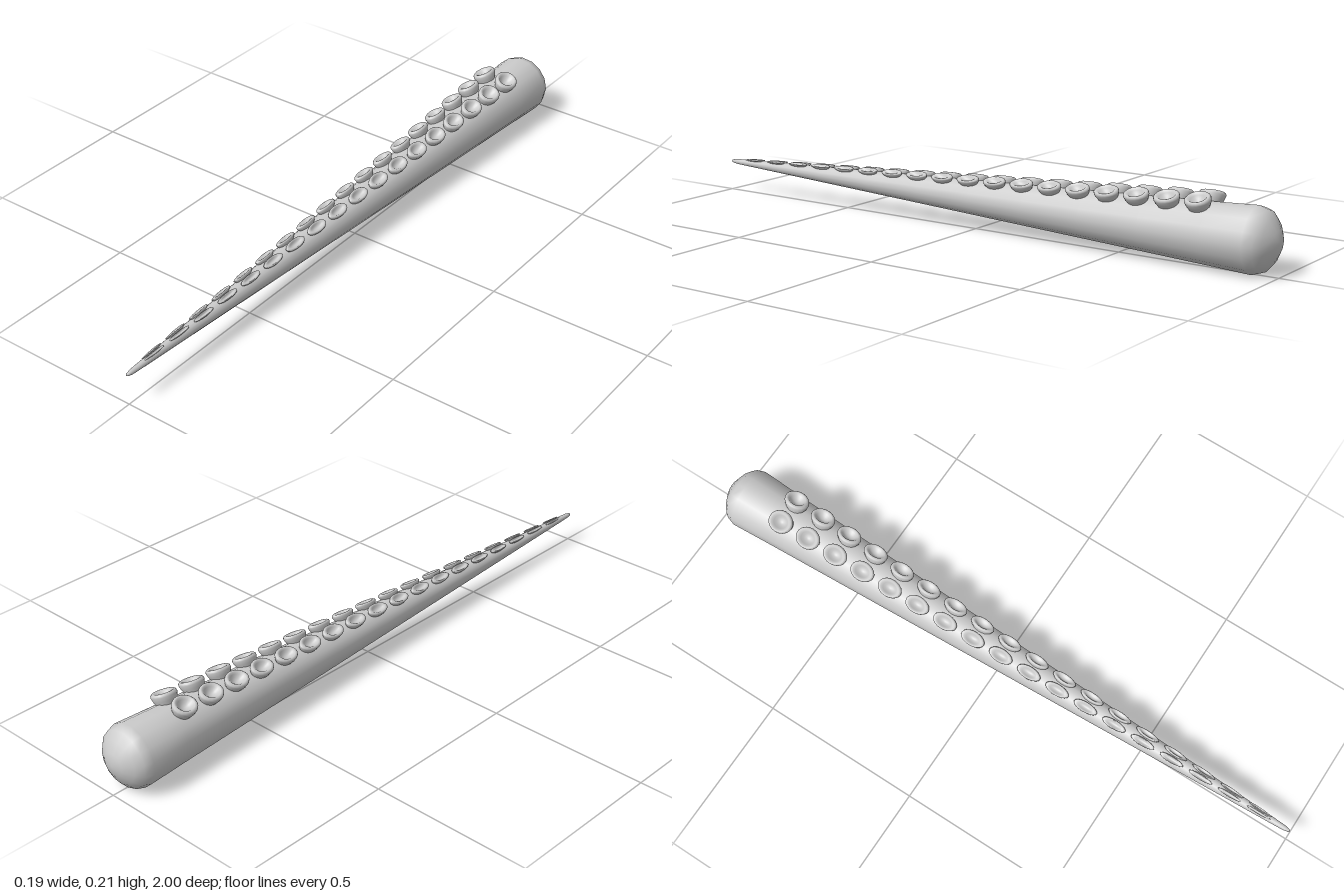
import * as THREE from 'three';
import { mergeVertices } from 'three/addons/utils/BufferGeometryUtils.js';

const AXIS = new THREE.Vector2(-0.002, 0.098); // x, y of the arm's centre line
const radiusAt = (z) => 0.0525 - 0.0455 * z;   // straight taper from root to tip

// Revolved profile with a seamless smooth surface
function revolve(points, sides, start = 0) {
  const geo = new THREE.LatheGeometry(points.map(([r, y]) => new THREE.Vector2(r, y)), sides, start);
  geo.deleteAttribute('uv');
  geo.deleteAttribute('normal');
  const merged = mergeVertices(geo, 1e-5);
  merged.computeVertexNormals();
  return merged;
}

// Squeezes a geometry towards the centre line, leaving its length alone
function taper(geo, fullRadius) {
  const p = geo.attributes.position;
  for (let i = 0; i < p.count; i++) {
    const s = radiusAt(p.getZ(i)) / fullRadius;
    p.setXY(i, p.getX(i) * s, p.getY(i) * s);
  }
  geo.computeVertexNormals();
  return geo;
}

export function createModel() {
  const material = new THREE.MeshStandardMaterial({ color: 0xcccccc });
  const group = new THREE.Group();
  group.name = 'tentacle';

  const add = (geo, name) => {
    const mesh = new THREE.Mesh(geo, material);
    mesh.name = name;
    mesh.position.set(AXIS.x, AXIS.y, 0);
    group.add(mesh);
  };

  // Tapering arm with a domed root and a rounded tip
  const profile = [[0, -1], [0.035, -0.993], [0.066, -0.976], [0.087, -0.957], [0.0957, -0.93]];
  for (let z = -0.8; z < 0.95; z += 0.2) profile.push([radiusAt(z), z]);
  profile.push([radiusAt(0.96), 0.96], [0.0075, 0.98], [0.0045, 0.995], [0, 1]);
  add(revolve(profile, 15, Math.PI / 2).rotateX(Math.PI / 2), 'arm');

  // Cup with a rounded lip and a hollow centre, heights measured from the centre line
  const cup = revolve([
    [0.021, 0.066], [0.026, 0.08], [0.032, 0.094], [0.035, 0.106], [0.034, 0.112], [0.030, 0.116],
    [0.025, 0.115], [0.020, 0.109], [0.014, 0.102], [0.007, 0.098], [0, 0.097],
  ], 20);

  // Two rows of suckers, flattening towards the tip
  const rows = 18, firstZ = -0.77, spacing = 0.098, tilt = THREE.MathUtils.degToRad(23);
  for (let i = 0; i < rows; i++) {
    for (const side of [-1, 1]) {
      const geo = cup.clone().scale(1, 1, 1.12).rotateZ(-side * tilt).translate(0, 0, firstZ + i * spacing);
      add(taper(geo, radiusAt(firstZ)), `${side > 0 ? 'left' : 'right'}Sucker${i + 1}`);
    }
  }
  return group;
}
